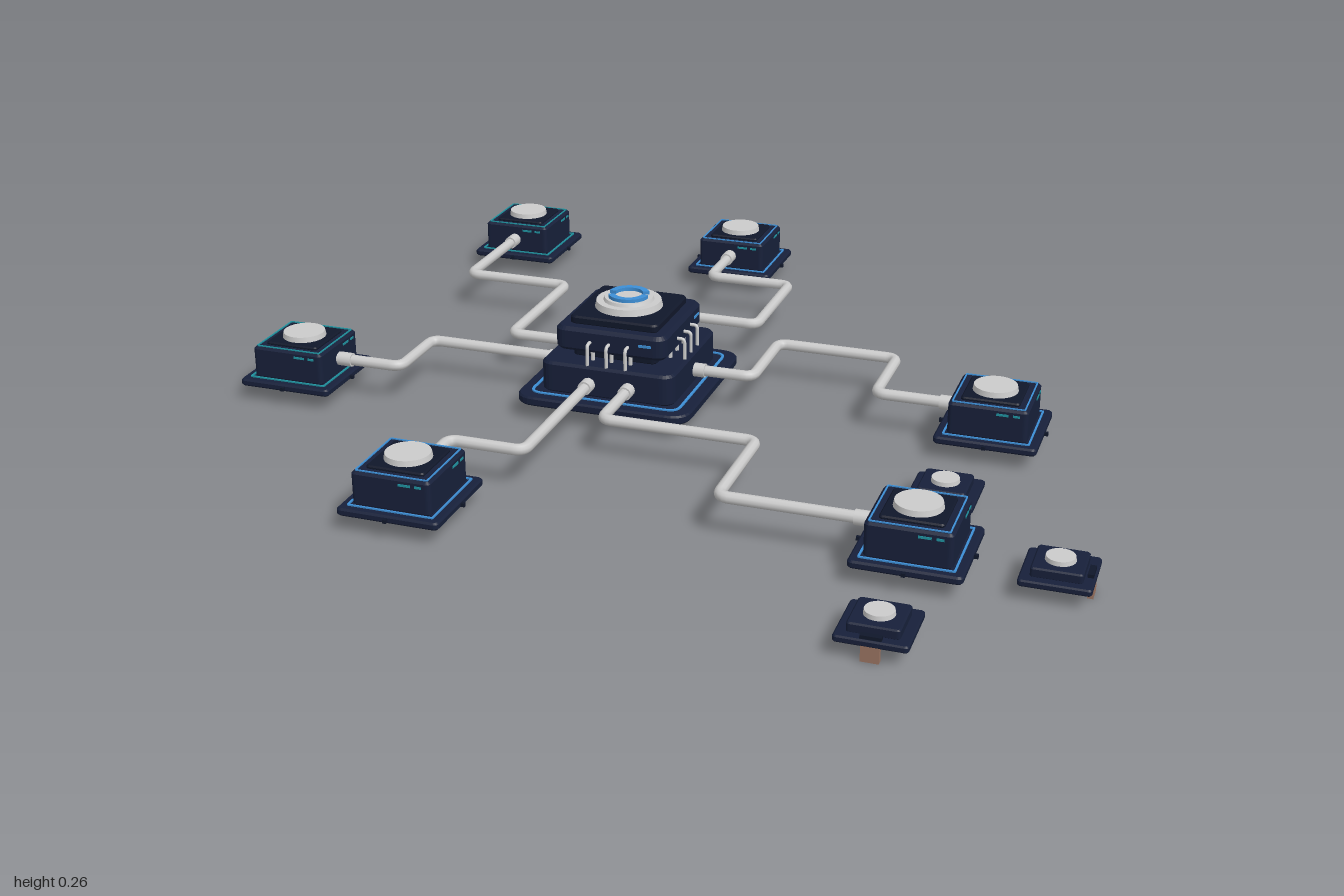
import * as THREE from 'three';

const mat = (color) => new THREE.MeshStandardMaterial({ color });
const grey = mat(0xcccccc), navy = mat(0x17203a), dark = mat(0x10172a);
const blue = mat(0x3d8fd6), teal = mat(0x1f93a0), copper = mat(0x9a7462);

function add(parent, name, geometry, material, x = 0, y = 0, z = 0) {
  const mesh = new THREE.Mesh(geometry, material);
  mesh.name = name;
  mesh.position.set(x, y, z);
  parent.add(mesh);
  return mesh;
}

// Rounded square outline of half-width h
function square(h, r, Type = THREE.Shape) {
  const s = new Type();
  s.moveTo(-h + r, -h);
  s.lineTo(h - r, -h).quadraticCurveTo(h, -h, h, -h + r);
  s.lineTo(h, h - r).quadraticCurveTo(h, h, h - r, h);
  s.lineTo(-h + r, h).quadraticCurveTo(-h, h, -h, h - r);
  s.lineTo(-h, -h + r).quadraticCurveTo(-h, -h, -h + r, -h);
  return s;
}

// Horizontal square slab from y0 to y1 with a small chamfer
function slab(parent, name, h, y0, y1, r, material, b = 0.004) {
  const geo = new THREE.ExtrudeGeometry(square(h - b, r), {
    depth: y1 - y0 - 2 * b, bevelEnabled: true, bevelSize: b, bevelThickness: b, bevelSegments: 1, curveSegments: 6,
  });
  geo.rotateX(-Math.PI / 2);
  return add(parent, name, geo, material, 0, y0 + b, 0);
}

// Thin square outline lying flat
function frame(parent, name, h, w, y, r, material) {
  const s = square(h, r);
  s.holes.push(square(h - w, Math.max(r - w, 0.001), THREE.Path));
  const geo = new THREE.ExtrudeGeometry(s, { depth: 0.003, bevelEnabled: false, curveSegments: 6 });
  geo.rotateX(-Math.PI / 2);
  return add(parent, name, geo, material, 0, y, 0);
}

function disc(parent, name, r, y0, y1, material = grey) {
  return add(parent, name, new THREE.CylinderGeometry(r * 0.95, r, y1 - y0, 32), material, 0, (y0 + y1) / 2, 0);
}

// Pipe through points with rounded corners
function pipe(parent, name, pts, radius, bend) {
  const p = pts.map((a) => new THREE.Vector3(...a));
  const path = new THREE.CurvePath();
  let from = p[0];
  for (let i = 1; i < p.length - 1; i++) {
    const a = p[i].clone().add(p[i - 1].clone().sub(p[i]).setLength(bend));
    const b = p[i].clone().add(p[i + 1].clone().sub(p[i]).setLength(bend));
    path.add(new THREE.LineCurve3(from, a));
    path.add(new THREE.QuadraticBezierCurve3(a, p[i], b));
    from = b;
  }
  path.add(new THREE.LineCurve3(from, p[p.length - 1]));
  return add(parent, name, new THREE.TubeGeometry(path, 140, radius, 10), grey);
}

// Four copies turned about the vertical axis
function fourSides(parent, name, build) {
  for (let i = 0; i < 4; i++) {
    const side = new THREE.Group();
    side.name = name;
    side.rotation.y = (i * Math.PI) / 2;
    build(side);
    parent.add(side);
  }
}

function createHub() {
  const hub = new THREE.Group();
  hub.name = 'hub';
  slab(hub, 'hubBase', 0.205, 0.037, 0.058, 0.045, navy);
  frame(hub, 'hubLightFrame', 0.178, 0.006, 0.058, 0.03, blue);
  slab(hub, 'hubBody', 0.158, 0.056, 0.13, 0.025, navy, 0.006);
  slab(hub, 'hubNeck', 0.1, 0.128, 0.16, 0.01, dark);
  slab(hub, 'hubUpperBlock', 0.132, 0.152, 0.208, 0.02, navy, 0.008);
  slab(hub, 'hubUpperStep', 0.105, 0.206, 0.226, 0.012, dark);
  disc(hub, 'hubCap', 0.078, 0.224, 0.241);
  disc(hub, 'hubCapRaised', 0.058, 0.241, 0.248);
  disc(hub, 'hubUndersideDisc', 0.048, 0.03, 0.04);

  // Two blue arcs on the cap
  for (let i = 0; i < 2; i++) {
    const arc = new THREE.Shape();
    const a = i * Math.PI + 0.5;
    arc.absarc(0, 0, 0.047, a, a + 2.6, false);
    arc.absarc(0, 0, 0.032, a + 2.6, a, true);
    const geo = new THREE.ExtrudeGeometry(arc, { depth: 0.009, bevelEnabled: false, curveSegments: 16 });
    geo.rotateX(-Math.PI / 2);
    add(hub, 'capArc', geo, blue, 0, 0.247, 0);
  }

  // Bent tubes, short pillars and light strips on every side
  fourSides(hub, 'hubSide', (side) => {
    for (const x of [-0.045, 0, 0.045]) {
      pipe(side, 'sideTube', [[x, 0.12, 0.149], [x, 0.178, 0.149], [x, 0.178, 0.125]], 0.004, 0.01);
      add(side, 'pillar', new THREE.CylinderGeometry(0.005, 0.005, 0.03, 8), grey, x, 0.142, 0.115);
    }
    add(side, 'lightStrip', new THREE.BoxGeometry(0.03, 0.006, 0.004), blue, 0.085, 0.185, 0.132);
  });
  return hub;
}

function createNode(accent) {
  const node = new THREE.Group();
  node.name = 'node';
  slab(node, 'nodeBase', 0.112, 0.035, 0.052, 0.008, navy);
  frame(node, 'nodeLightFrame', 0.095, 0.004, 0.052, 0.004, accent);
  slab(node, 'nodeBody', 0.087, 0.05, 0.125, 0.006, navy, 0.005);
  frame(node, 'nodeTopFrame', 0.08, 0.003, 0.1245, 0.004, accent);
  slab(node, 'nodeTopPlate', 0.064, 0.123, 0.132, 0.005, dark, 0.003);
  disc(node, 'nodeDisc', 0.05, 0.131, 0.144);
  fourSides(node, 'nodeSide', (side) => {
    add(side, 'stud', new THREE.BoxGeometry(0.008, 0.008, 0.012), dark, 0, 0.043, 0.114);
    for (const [x, w] of [[0.032, 0.026], [0.062, 0.015]])
      add(side, 'lightStrip', new THREE.BoxGeometry(w, 0.005, 0.003), teal, x, 0.112, 0.087);
  });
  return node;
}

// Small satellite; its port hangs from the +z edge
function createSatellite() {
  const sat = new THREE.Group();
  sat.name = 'satellite';
  slab(sat, 'satelliteBase', 0.07, 0.031, 0.045, 0.005, navy, 0.003);
  slab(sat, 'satelliteBody', 0.05, 0.043, 0.064, 0.004, navy, 0.003);
  disc(sat, 'satelliteDisc', 0.03, 0.063, 0.073);
  add(sat, 'portBlock', new THREE.BoxGeometry(0.04, 0.008, 0.012), dark, 0, 0.048, 0.06);
  add(sat, 'port', new THREE.BoxGeometry(0.035, 0.034, 0.012), copper, 0, 0.017, 0.062);
  return sat;
}

export function createModel() {
  const model = new THREE.Group();
  model.name = 'hubNetwork';
  const hub = createHub();
  hub.position.set(-0.155, 0, -0.005);
  model.add(hub);

  // Node centres, each with its pipe route from node to hub in x and z
  const nodes = [
    [-0.745, -0.8, teal, [[-0.745, -0.71], [-0.745, -0.42], [-0.48, -0.42], [-0.48, -0.075], [-0.3, -0.075]]],
    [-0.155, -0.855, blue, [[-0.155, -0.77], [-0.155, -0.6], [0.055, -0.6], [0.055, -0.315], [-0.155, -0.315], [-0.155, -0.15]]],
    [0.69, -0.01, blue, [[0.61, -0.005], [0.425, -0.005], [0.425, -0.215], [0.14, -0.215], [0.14, -0.005], [-0.01, -0.005]]],
    [-0.885, 0.19, teal, [[-0.8, 0.195], [-0.64, 0.195], [-0.64, 0.025], [-0.3, 0.025]]],
    [-0.365, 0.705, blue, [[-0.365, 0.62], [-0.365, 0.52], [-0.195, 0.52], [-0.195, 0.14]]],
    [0.655, 0.59, blue, [[0.57, 0.59], [0.25, 0.59], [0.25, 0.32], [-0.1, 0.32], [-0.1, 0.14]]],
  ];
  for (const [x, z, accent, route] of nodes) {
    const node = createNode(accent);
    node.position.set(x, 0, z);
    model.add(node);
    const pts = route.map(([px, pz]) => [px, 0.088, pz]);
    pipe(model, 'pipe', pts, 0.0125, 0.025);
    // Collars where the pipe enters the node and the hub
    for (const [i, j] of [[0, 1], [pts.length - 1, pts.length - 2]]) {
      const end = new THREE.Vector3(...pts[i]);
      const dir = new THREE.Vector3(...pts[j]).sub(end).normalize();
      const collar = add(model, 'pipeCollar', new THREE.CylinderGeometry(0.016, 0.016, 0.034, 16), grey);
      collar.position.copy(end).addScaledVector(dir, 0.022);
      collar.quaternion.setFromUnitVectors(new THREE.Vector3(0, 1, 0), dir);
    }
  }

  // Satellites around the front right node, ports facing outward
  for (const [x, z, turn] of [[0.655, 0.33, Math.PI], [0.93, 0.59, Math.PI / 2], [0.655, 0.895, 0]]) {
    const sat = createSatellite();
    sat.position.set(x, 0, z);
    sat.rotation.y = turn;
    model.add(sat);
  }
  return model;
}
